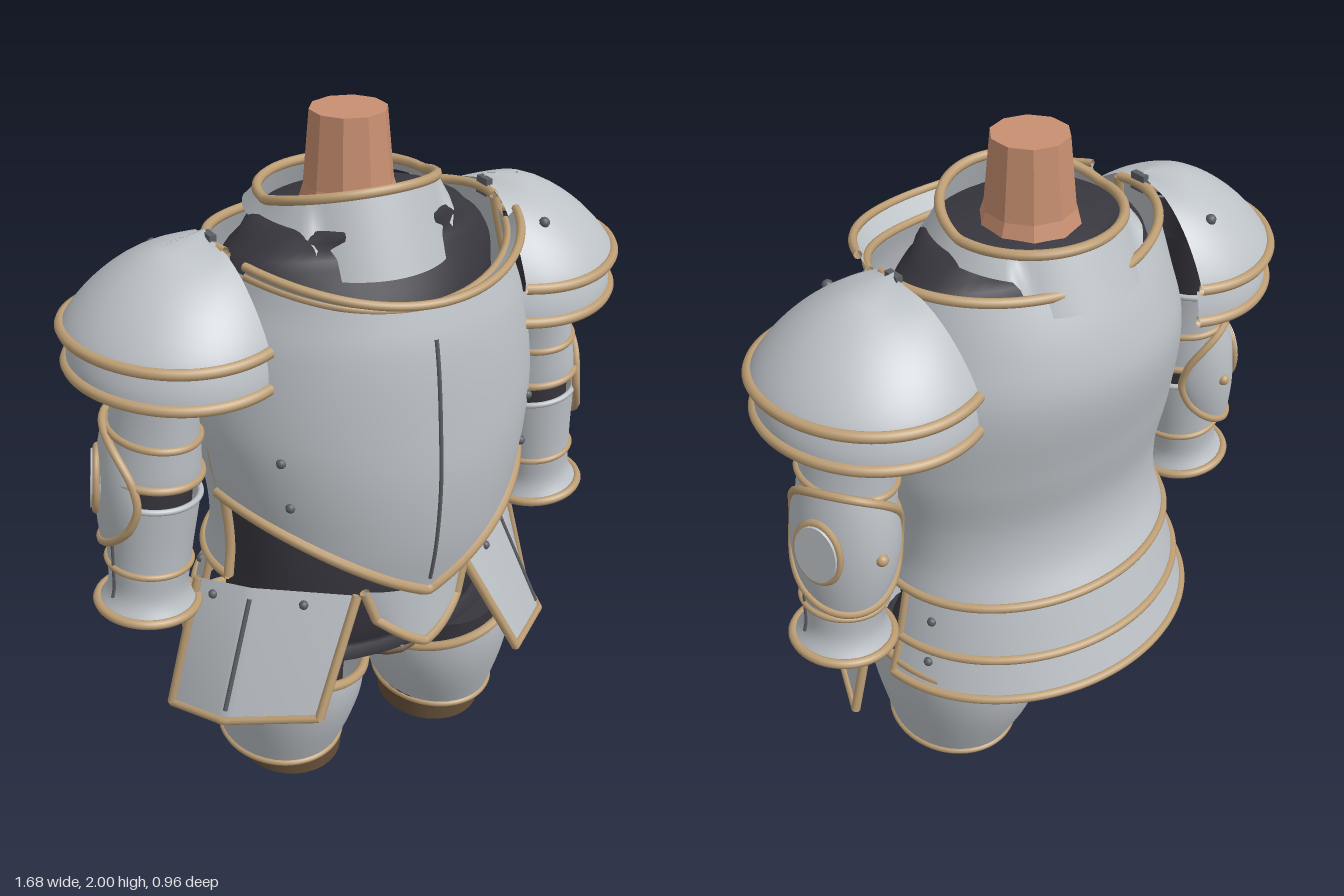
import * as THREE from 'three';
import { mergeVertices } from 'three/addons/utils/BufferGeometryUtils.js';

const { sin, cos, abs, PI, max, sqrt } = Math;
const mat = (name, color) => new THREE.MeshStandardMaterial({ name, color, side: THREE.DoubleSide });

// Smooth lookup: rows of [y, a, b] give [a, b] at any y
function profile(rows) {
  const c = new THREE.CubicInterpolant(rows.map(r => r[0]), rows.flatMap(r => [r[1], r[2]]), 2);
  return y => [...c.evaluate(y)];
}

// Curved sheet from f(u, v) -> [x, y, z]
function sheet(f, nu = 48, nv = 16) {
  const pos = [], idx = [];
  for (let j = 0; j <= nv; j++) for (let i = 0; i <= nu; i++) pos.push(...f(i / nu, j / nv));
  for (let j = 0; j < nv; j++) for (let i = 0; i < nu; i++) {
    const a = j * (nu + 1) + i, b = a + nu + 1;
    idx.push(a, a + 1, b, a + 1, b + 1, b);
  }
  let g = new THREE.BufferGeometry();
  g.setAttribute('position', new THREE.Float32BufferAttribute(pos, 3));
  g.setIndex(idx);
  g = mergeVertices(g, 1e-5);
  g.computeVertexNormals();
  return g;
}

// Round bead along f(t) -> [x, y, z]
function bead(f, r = 0.014, closed = false, n = 40) {
  const pts = [];
  for (let i = 0; i < (closed ? n : n + 1); i++) pts.push(new THREE.Vector3(...f(i / n)));
  return new THREE.TubeGeometry(new THREE.CatmullRomCurve3(pts, closed), n * 2, r, 8, closed);
}

export function createModel() {
  const model = new THREE.Group();
  model.name = 'armouredTorso';
  const steel = mat('steel', 0xbcc1c6), gold = mat('goldTrim', 0xbd9e74), dark = mat('darkCloth', 0x38363e);
  const skin = mat('skin', 0xc88f70), brown = mat('brownLeather', 0x665039), iron = mat('darkIron', 0x5b5e63);

  const add = (parent, name, geo, m, p = [0, 0, 0]) => {
    const mesh = new THREE.Mesh(geo, m);
    mesh.name = name;
    mesh.position.set(...p);
    parent.add(mesh);
    return mesh;
  };
  const rivet = (parent, p, r = 0.014) => add(parent, 'rivet', new THREE.SphereGeometry(r, 10, 8), iron, p);
  const mix = (p, q, v) => p.map((a, i) => a + (q[i] - a) * v);
  const angle = (t, m) => (t * 2 - 1) * m;
  // Elliptical tube from a profile of [rx, rz]
  const ringAt = (prof, y, t) => {
    const [rx, rz] = prof(y);
    return [rx * cos(t * 2 * PI), y, rz * sin(t * 2 * PI)];
  };
  const shell = (prof, y0, y1, nv = 16) => sheet((u, v) => ringAt(prof, y0 + (y1 - y0) * v, u), 40, nv);

  // Neck
  const neck = new THREE.LatheGeometry([[0.19, 1.6], [0.125, 1.8], [0.106, 2], [0, 2]].map(p => new THREE.Vector2(...p)), 10).toNonIndexed();
  neck.computeVertexNormals();
  add(model, 'neck', neck, skin, [0, 0, -0.035]);

  // Cloth body under the plates
  const body = profile([[0.395, 0.02, 0.02], [0.41, 0.36, 0.22], [0.47, 0.41, 0.265], [0.6, 0.415, 0.3], [0.72, 0.41, 0.31], [1, 0.42, 0.3],
    [1.3, 0.42, 0.34], [1.5, 0.41, 0.29], [1.64, 0.4, 0.23], [1.71, 0.33, 0.2], [1.765, 0.18, 0.15], [1.775, 0.01, 0.01]]);
  add(model, 'bodyCloth', shell(body, 0.395, 1.775, 60), dark);
  const crotch = add(model, 'crotchLeather', new THREE.SphereGeometry(1, 24, 12), brown, [0, 0.43, 0]);
  crotch.scale.set(0.17, 0.05, 0.3);

  // Collar with front and back bibs
  const collarTop = t => [0.245 * sin(t * 2 * PI), 1.785 + 0.06 * max(0, cos(t * 2 * PI)), -0.045 + 0.235 * cos(t * 2 * PI)];
  const collarLow = t => {
    const c = cos(t * 2 * PI), k = THREE.MathUtils.smoothstep(abs(c), 0.62, 0.76);
    return [0.28 * sin(t * 2 * PI), 1.735 - (c > 0 ? 0.105 : 0.1) * k, -0.045 + (c > 0 ? 0.315 : 0.305) * c];
  };
  add(model, 'collar', sheet((u, v) => mix(collarLow(u), collarTop(u), v), 96, 8), steel);
  add(model, 'collarTrim', bead(collarTop, 0.014, true), gold);

  // Breastplate: pointed lower edge, dipped neckline
  const chest = profile([[0.73, 0.45, 0.42], [0.9, 0.465, 0.455], [1.1, 0.5, 0.47], [1.25, 0.515, 0.462], [1.5, 0.475, 0.43], [1.6, 0.44, 0.4], [1.7, 0.42, 0.37]]);
  const chestPoint = (a, y) => { const [rx, rz] = chest(y); return [rx * sin(a), y, rz * cos(a)]; };
  const chestLow = a => 0.735 + 0.29 * abs(sin(a)) ** 1.1;
  const chestTop = a => 1.6 + 0.08 * sin(a) ** 2;
  const A = 1.4;
  add(model, 'breastplate', sheet((u, v) => {
    const a = angle(u, A), lo = chestLow(a);
    return chestPoint(a, lo + (chestTop(a) - lo) * v);
  }, 60, 30), steel);
  add(model, 'breastplateTrim', bead(t => chestPoint(angle(t, A), chestLow(angle(t, A))), 0.017), gold);
  add(model, 'breastplateRidge', bead(t => chestPoint(0, 0.78 + 0.74 * t), 0.006), iron);
  for (const s of [-1, 1]) for (const [x, y] of [[0.39, 1.2], [0.37, 1.06]]) rivet(model, chestPoint(s * Math.asin(x / chest(y)[0]), y));

  // Flared neckline lip
  const lip = (t, k) => { const a = angle(t, 1.2); return [(0.425 + 0.015 * k) * sin(a), chestTop(a) + 0.04 * k, (0.39 + 0.072 * k) * cos(a)]; };
  add(model, 'necklineLip', sheet((u, v) => lip(u, v), 48, 3), steel);
  for (const k of [0, 1]) add(model, 'necklineTrim', bead(t => lip(t, k), 0.012), gold);

  // Backplate
  const back = profile([[0.73, 0.47, 0.385], [0.82, 0.455, 0.335], [0.95, 0.46, 0.315], [1.15, 0.495, 0.35], [1.42, 0.49, 0.392], [1.55, 0.455, 0.36], [1.72, 0.42, 0.28]]);
  const B = 1.78;
  const backPoint = (a, v) => {
    const y = 0.73 + (0.95 + 0.03 * sin(a) ** 2) * v, [rx, rz] = back(y);
    return [rx * sin(a), y, -rz * cos(a)];
  };
  add(model, 'backplate', sheet((u, v) => backPoint(angle(u, B), v), 60, 30), steel);
  for (const v of [0, 1]) add(model, 'backplateTrim', bead(t => backPoint(angle(t, B), v)), gold);
  for (const s of [-1, 1]) add(model, 'backplateEdgeTrim', bead(t => backPoint(s * B, t), 0.015), gold);

  // Two rear skirt bands
  for (const [y0, rx0, rz0, y1, rx1, rz1] of [[0.73, 0.465, 0.375, 0.565, 0.505, 0.43], [0.59, 0.49, 0.41, 0.44, 0.54, 0.465]]) {
    const p = (t, v) => {
      const a = angle(t, 1.47);
      return [(rx0 + (rx1 - rx0) * v) * sin(a), y0 + (y1 - y0) * v, -(rz0 + (rz1 - rz0) * v) * cos(a)];
    };
    add(model, 'rearSkirtBand', sheet(p, 48, 4), steel);
    add(model, 'rearSkirtTrim', bead(t => p(t, 1)), gold);
    for (const e of [0, 1]) {
      add(model, 'rearSkirtEdgeTrim', bead(t => p(e, t), 0.012, false, 6), gold);
      rivet(model, p(abs(e - 0.085), 0.45));
    }
  }

  // Centre tongue plate
  const tongue = (u, v) => {
    const s = u * 2 - 1, low = 0.55 + 0.09 * abs(s) ** 1.2;
    return [s * (0.165 - 0.03 * v), 0.735 + (low - 0.735) * v, 0.4 - 0.05 * s * s + 0.015 * v];
  };
  add(model, 'tonguePlate', sheet(tongue, 20, 8), steel);
  add(model, 'tongueTrim', bead(t => t < 0.25 ? tongue(0, t * 4) : t > 0.75 ? tongue(1, 4 - t * 4) : tongue(t * 2 - 0.5, 1), 0.015), gold);

  // Everything with a left and a right copy
  for (const s of [1, -1]) {
    const side = new THREE.Group();
    side.name = s > 0 ? 'leftSide' : 'rightSide';
    side.scale.x = s;
    model.add(side);

    // Thigh, boot top
    const thigh = (u, v) => {
      const c = cos(u * 2 * PI), y = 0.07 + (0.335 + 0.07 * c) * v, k = sin(v * PI / 2);
      return [0.28 - 0.01 * v + (0.18 + 0.07 * k) * c, y, 0.015 - 0.015 * v + (0.21 + 0.1 * k) * sin(u * 2 * PI)];
    };
    add(side, 'thighPlate', sheet(thigh, 40, 14), steel);
    add(side, 'thighTopTrim', bead(t => thigh(t, 1), 0.015, true), gold);
    add(side, 'thighLowerTrim', bead(t => thigh(t, 0), 0.011, true), gold);
    const liner = add(side, 'thighCloth', new THREE.CylinderGeometry(0.2, 0.19, 0.13, 32), dark, [0.275, 0.34, 0]);
    liner.scale.z = 1.25;
    const boot = add(side, 'bootTop', new THREE.CylinderGeometry(0.17, 0.16, 0.28, 32, 1, true), brown, [0.26, 0.14, 0.03]);
    boot.scale.z = 1.13;

    // Hip plate with a centre crease
    const rows = [[[0.18, 0.72, 0.335], [0.42, 0.715, 0.15], [0.53, 0.71, 0.02]], [[0.34, 0.385, 0.4], [0.56, 0.33, 0.215], [0.64, 0.29, 0.02]]];
    const hip = (u, v) => {
      const k = u < 0.55 ? 0 : 1, t = k ? (u - 0.55) / 0.45 : u / 0.55;
      return mix(mix(rows[0][k], rows[0][k + 1], t), mix(rows[1][k], rows[1][k + 1], t), v);
    };
    add(side, 'hipPlate', sheet(hip, 20, 6), steel);
    for (const u of [0, 1]) add(side, 'hipPlateSideTrim', bead(t => hip(u, t), 0.014, false, 6), gold);
    add(side, 'hipPlateLowerTrim', bead(t => hip(t, 1), 0.012, false, 20), gold);
    add(side, 'hipPlateCrease', bead(t => hip(0.55, 0.08 + t * 0.84), 0.007, false, 6), iron);
    rivet(side, hip(0.26, 0.1));
    rivet(side, hip(0.85, 0.1));

    // Shoulder dome and lower band, both curling inward at front and back
    const rim = (t, drop, k) => {
      const a = angle(t, 2);
      return [0.43 + (0.09 + 0.305 * cos(a)) * k, 1.505 + 0.02 * cos(a) ** 2 - drop, -0.02 + 0.312 * sin(a) * k];
    };
    const dome = (u, v) => rim(u, -0.225 * max(0, 1 - v * v) ** 0.85, v);
    add(side, 'shoulderDome', sheet((u, v) => dome(u, sqrt(1 - (1 - v) ** 2)), 40, 16), steel);
    add(side, 'shoulderDomeTrim', bead(t => dome(t, 1), 0.016), gold);
    add(side, 'shoulderBand', sheet((u, v) => rim(u, 0.015 + 0.09 * v, 0.93 + 0.06 * sin(v * PI / 2)), 40, 4), steel);
    add(side, 'shoulderBandTrim', bead(t => rim(t, 0.105, 0.99), 0.016), gold);
    add(side, 'shoulderHinge', new THREE.BoxGeometry(0.02, 0.05, 0.05), iron, [0.425, 1.715, -0.01]);
    rivet(side, dome(0.5 + 0.37 * s, 0.63), 0.016);

    // Arm, leaning outward
    const arm = new THREE.Group();
    arm.name = 'arm';
    arm.position.set(0.675, 0.65, -0.015);
    arm.rotation.z = 0.106;
    side.add(arm);
    const sleeve = profile([[-0.03, 0.095, 0.085], [0.1, 0.095, 0.1], [0.41, 0.11, 0.125], [0.72, 0.088, 0.145], [0.9, 0.09, 0.15]]);
    add(arm, 'armCloth', shell(sleeve, -0.03, 0.9), dark);
    const hand = add(arm, 'wristEnd', new THREE.CircleGeometry(1, 32), dark, [0, -0.03, 0]);
    hand.rotation.x = PI / 2;
    hand.scale.set(0.095, 0.085, 1);
    const plate = profile([[0.02, 0.142, 0.143], [0.06, 0.118, 0.12], [0.16, 0.118, 0.12], [0.38, 0.134, 0.14], [0.46, 0.132, 0.15], [0.57, 0.12, 0.152], [0.71, 0.1, 0.158]]);
    add(arm, 'forearmPlate', shell(plate, 0.02, 0.38), steel);
    add(arm, 'upperArmPlate', shell(plate, 0.45, 0.71), steel);
    for (const [y, r, m] of [[0.02, 0.014, gold], [0.16, 0.01, gold], [0.38, 0.009, steel], [0.45, 0.012, gold], [0.57, 0.011, gold], [0.71, 0.009, steel]])
      add(arm, 'armBand', bead(t => ringAt(plate, y, t), r, true), m);
    add(arm, 'forearmSeam', bead(t => ringAt(plate, 0.06 + 0.24 * t, 0.03), 0.006, false, 8), iron);

    // Elbow guard wrapping the outside and back
    const guard = (u, v) => {
      const f = 0.82 - 3.2 * u, h = sqrt(max(0, sin(PI * u))), w = v * 2 - 1;
      const k = 1 + 0.14 * h * (1 - w * w);
      return [0.133 * k * cos(f), 0.395 + 0.19 * h * w, 0.165 * k * sin(f)];
    };
    add(arm, 'elbowGuard', sheet(guard, 36, 14), steel);
    add(arm, 'elbowGuardTrim', bead(t => t < 0.5 ? guard(t * 2, 1) : guard(2 - t * 2, 0), 0.012, true, 48), gold);
    const disc = add(arm, 'elbowDisc', new THREE.CylinderGeometry(0.066, 0.072, 0.03, 32), steel, [0.136, 0.4, -0.07]);
    disc.rotation.set(0, 0.35, -PI / 2, 'YXZ');
    disc.scale.x = 1.3;
    const discRim = add(disc, 'elbowDiscTrim', new THREE.TorusGeometry(0.07, 0.01, 8, 32), gold);
    discRim.rotation.x = PI / 2;
    add(arm, 'elbowStud', new THREE.SphereGeometry(0.018, 10, 8), gold, guard(0.72, 0.5));
  }
  return model;
}
